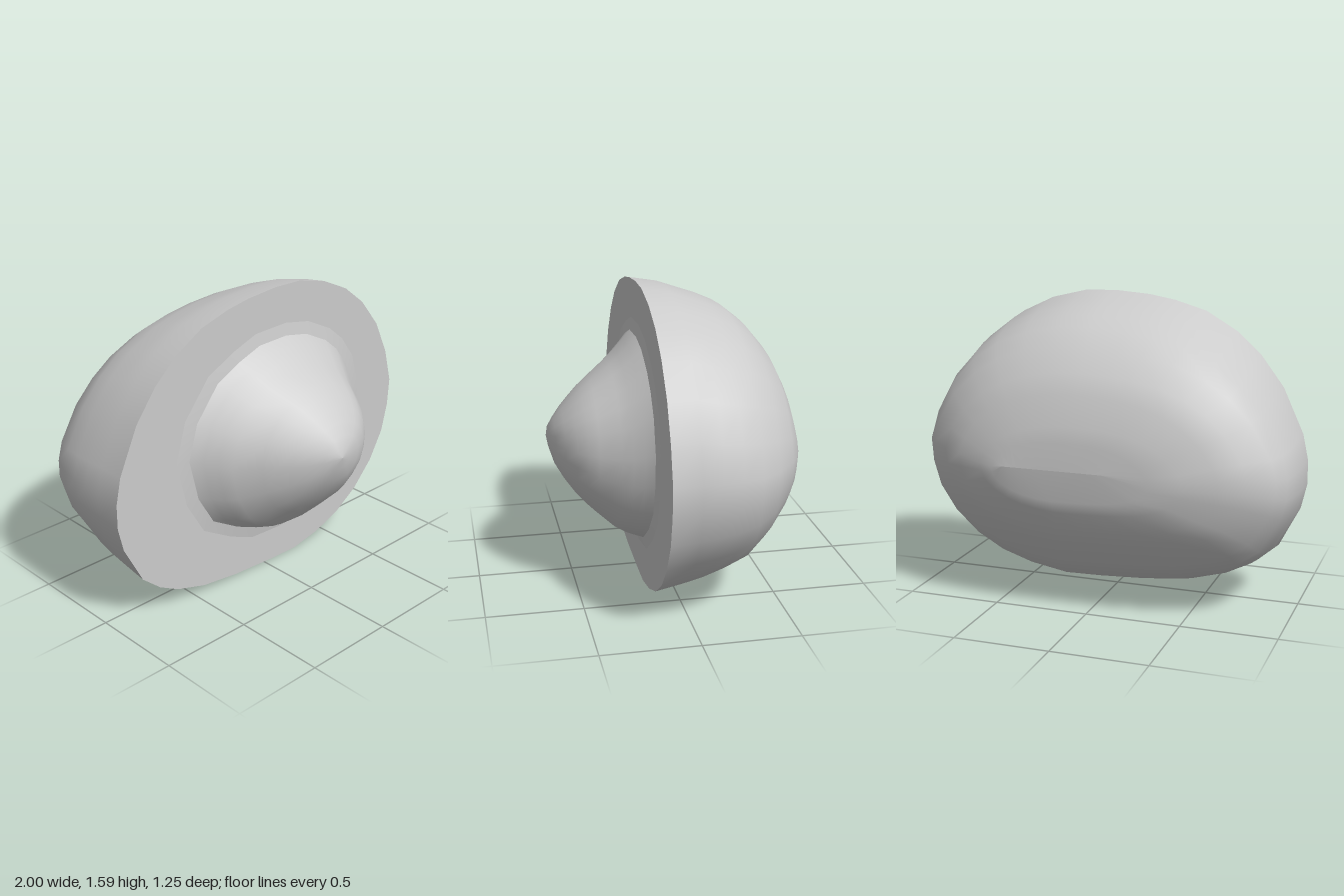
import * as THREE from 'three';

// Outlines, clockwise as seen from the front
const RIM = [[0.06, 1.59], [0.23, 1.585], [0.42, 1.54], [0.59, 1.46], [0.73, 1.35], [0.86, 1.19], [0.95, 1.0],
  [1, 0.81], [0.99, 0.66], [0.95, 0.5], [0.86, 0.34], [0.73, 0.2], [0.58, 0.1], [0.41, 0.035], [0.23, 0],
  [0.03, 0.005], [-0.22, 0.02], [-0.45, 0.05], [-0.63, 0.105], [-0.75, 0.17], [-0.86, 0.265], [-0.97, 0.48],
  [-1, 0.61], [-1, 0.74], [-0.97, 0.88], [-0.86, 1.12], [-0.74, 1.28], [-0.61, 1.4], [-0.44, 1.5],
  [-0.27, 1.55], [-0.13, 1.575]].reverse();
const STONE = [[0.13, 1.315], [0.28, 1.285], [0.43, 1.21], [0.52, 1.135], [0.6, 1.025], [0.65, 0.85],
  [0.635, 0.68], [0.58, 0.52], [0.46, 0.39], [0.31, 0.285], [0.11, 0.25], [-0.08, 0.26], [-0.22, 0.32],
  [-0.39, 0.42], [-0.49, 0.59], [-0.545, 0.82], [-0.49, 1.01], [-0.35, 1.185], [-0.2, 1.26],
  [-0.06, 1.31]].reverse();

// Stretch an outline into the box x0..x1, y0..y1
function fit(outline, [x0, x1, y0, y1]) {
  const box = new THREE.Box2().setFromPoints(outline.map(([x, y]) => new THREE.Vector2(x, y)));
  const { min, max } = box;
  return outline.map(([x, y]) => [
    x0 + (x1 - x0) * (x - min.x) / (max.x - min.x),
    y0 + (y1 - y0) * (y - min.y) / (max.y - min.y)]);
}

// Skin through sections [z, x0, x1, y0, y1], listed from back to front
function loft(outline, sections) {
  const n = outline.length, pos = [], index = [];
  sections.forEach(([z, ...box], r) => {
    fit(outline, box).forEach(([x, y]) => pos.push(x, y, z));
    if (r === 0) return;
    for (let i = 0; i < n; i++) {
      const j = (i + 1) % n, a = (r - 1) * n, b = r * n;
      index.push(a + i, a + j, b + i, a + j, b + j, b + i);
    }
  });
  const geo = new THREE.BufferGeometry();
  geo.setAttribute('position', new THREE.Float32BufferAttribute(pos, 3));
  geo.setIndex(index);
  geo.computeVertexNormals();
  return geo;
}

export function createModel() {
  const group = new THREE.Group();
  const material = new THREE.MeshStandardMaterial({ color: 0xcccccc, side: THREE.DoubleSide });
  const add = (name, geo) => {
    const mesh = new THREE.Mesh(geo, material);
    mesh.name = name;
    group.add(mesh);
    return mesh;
  };

  // Rounded back of the halved fruit
  add('skin', loft(RIM, [
    [-0.626, -0.13, 0.4, 0.78, 0.78],
    [-0.615, -0.36, 0.46, 0.62, 0.92],
    [-0.6, -0.53, 0.53, 0.56, 1.0],
    [-0.55, -0.69, 0.67, 0.45, 1.15],
    [-0.5, -0.82, 0.77, 0.37, 1.25],
    [-0.4, -0.945, 0.89, 0.24, 1.37],
    [-0.3, -0.98, 0.955, 0.145, 1.45],
    [-0.2, -0.995, 0.985, 0.1, 1.495],
    [-0.1, -1, 1, 0.065, 1.53],
    [0, -1, 1, 0.035, 1.565],
    [0.145, -1, 1, 0, 1.59]]));

  // Flat cut face with an opening for the stone
  const lip = [-0.62, 0.72, 0.19, 1.38];
  const toPoints = (o) => o.map(([x, y]) => new THREE.Vector2(x, y));
  const face = new THREE.Shape(toPoints(RIM));
  face.holes.push(new THREE.Path(toPoints(fit(STONE, lip))));
  add('cutFace', new THREE.ShapeGeometry(face)).position.z = 0.145;

  // Slightly raised lip round the stone
  add('stoneLip', loft(STONE, [[0.145, ...lip], [0.156, -0.545, 0.65, 0.25, 1.315]]));

  // Bulging stone
  add('stone', loft(STONE, [
    [0.156, -0.545, 0.65, 0.25, 1.315],
    [0.2, -0.49, 0.615, 0.265, 1.27],
    [0.25, -0.44, 0.58, 0.285, 1.22],
    [0.3, -0.39, 0.545, 0.315, 1.175],
    [0.4, -0.28, 0.475, 0.41, 1.1],
    [0.45, -0.225, 0.435, 0.46, 1.06],
    [0.5, -0.165, 0.385, 0.52, 1.01],
    [0.55, -0.1, 0.315, 0.59, 0.955],
    [0.59, -0.03, 0.23, 0.66, 0.9],
    [0.615, 0.01, 0.14, 0.74, 0.85],
    [0.626, 0.07, 0.07, 0.8, 0.8]]));
  return group;
}
